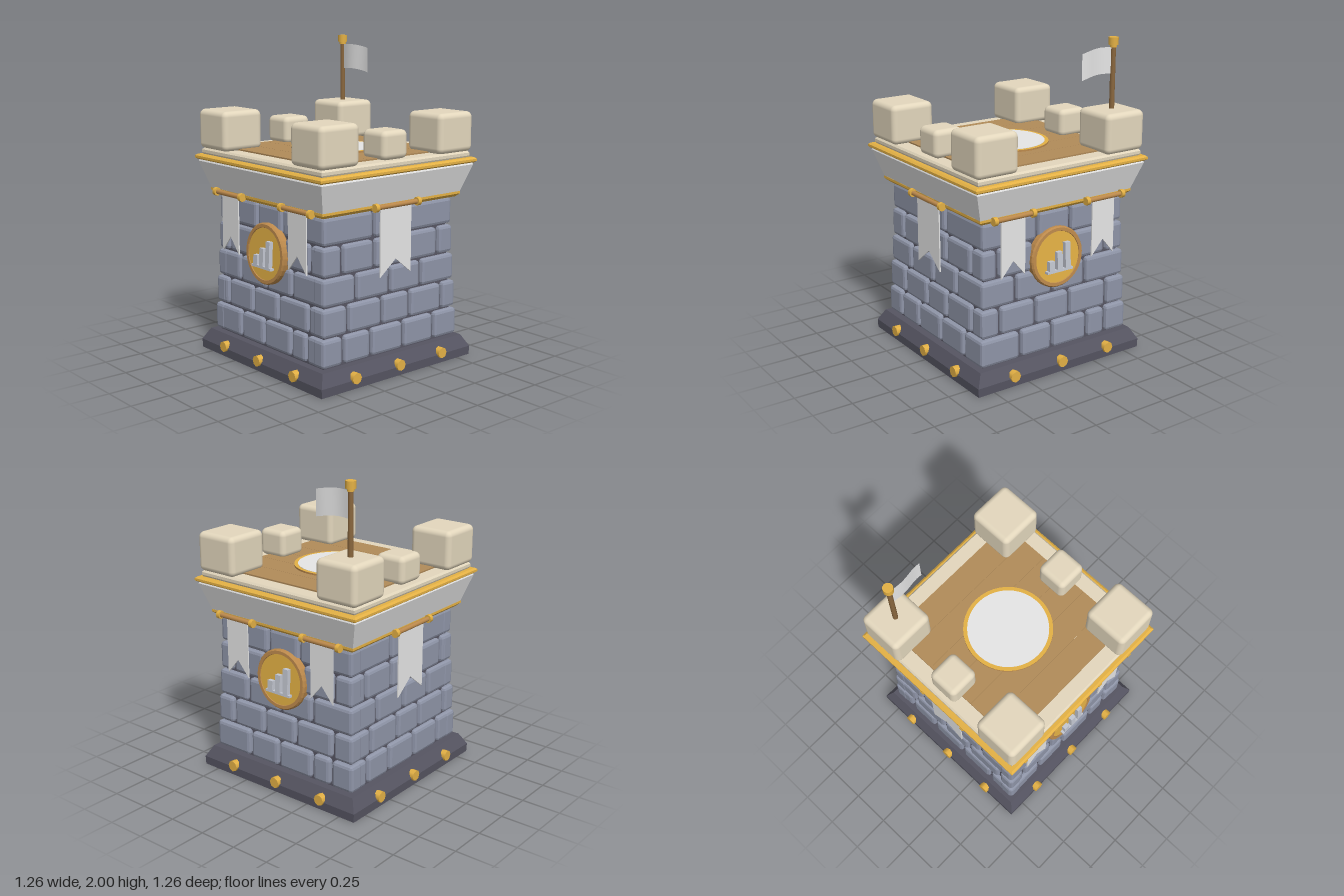
import * as THREE from 'three';
import { RoundedBoxGeometry } from 'three/addons/geometries/RoundedBoxGeometry.js';

const mat = (name, color, side = THREE.FrontSide) => {
  const m = new THREE.MeshStandardMaterial({ color, side });
  m.name = name;
  return m;
};

export function createModel() {
  const M = {
    brick: mat('blue grey stone', 0x8f95a8),
    mortar: mat('dark slate', 0x565562),
    cream: mat('cream stone', 0xe3d7bd),
    wood: mat('plank wood', 0xb18b59),
    pole: mat('dark wood', 0x8a673e),
    gold: mat('gold', 0xe4b145),
    bronze: mat('bronze', 0xbd8a4c),
    pale: mat('pale grey', 0xe6e6e6, THREE.DoubleSide),
    steel: mat('steel', 0xc4c8d2),
  };
  const model = new THREE.Group();
  model.name = 'tower';

  const add = (parent, name, geo, material, x = 0, y = 0, z = 0) => {
    const mesh = new THREE.Mesh(geo, material);
    mesh.name = name;
    mesh.position.set(x, y, z);
    parent.add(mesh);
    return mesh;
  };
  const group = (name, parent = model) => {
    const g = new THREE.Group();
    g.name = name;
    parent.add(g);
    return g;
  };
  const faceted = (geo) => {
    const g = geo.index ? geo.toNonIndexed() : geo;
    g.computeVertexNormals();
    return g;
  };
  // square ring or solid from a list of [half width, height], bottom to top
  const square = (profile) => faceted(new THREE.LatheGeometry(
    profile.map(([r, y]) => new THREE.Vector2(r * Math.SQRT2, y)), 4, Math.PI / 4));
  const chamferBox = (w, h, d, r) => faceted(new RoundedBoxGeometry(w, h, d, 1, r));
  const box = (w, h, d) => new THREE.BoxGeometry(w, h, d);
  const cyl = (r, h, n = 16) => new THREE.CylinderGeometry(r, r, h, n);

  // plinth, hollow underneath, and mortar core
  add(model, 'plinth', square([
    [0, 0.1], [0.585, 0.1], [0.59, 0], [0.612, 0], [0.614, 0.055], [0.572, 0.13], [0, 0.13]]), M.mortar);
  add(model, 'mortarCore', square([[0.525, 0.12], [0.485, 1.05]]), M.mortar);

  // brick courses: bottom, top, half width, joints on front and on side
  const courses = [
    [0.14, 0.31, 0.55, [-0.265, -0.03, 0.24, 0.385], [-0.39, -0.175, 0.09, 0.35]],
    [0.32, 0.49, 0.542, [-0.41, -0.15, 0.105, 0.395], [-0.35, -0.08, 0.15, 0.425]],
    [0.5, 0.665, 0.533, [-0.29, -0.02, 0.23], [-0.28, -0.01, 0.25]],
    [0.675, 0.85, 0.526, [-0.415, -0.155, 0.15, 0.39], [-0.38, -0.13, 0.13, 0.4]],
    [0.86, 1.025, 0.52, [-0.125, 0.12], [-0.13, 0.115]],
  ];

  const swallowtail = (w, h, notch) => {
    const s = new THREE.Shape();
    s.moveTo(-w / 2, 0);
    s.lineTo(-w / 2, -h);
    s.lineTo(0, -h + notch);
    s.lineTo(w / 2, -h);
    s.lineTo(w / 2, 0);
    s.closePath();
    return new THREE.ExtrudeGeometry(s, { depth: 0.008, bevelEnabled: false });
  };

  // hanging banner with its rod and collars
  const banner = (parent, x, w, h, rodLength) => {
    const g = group('banner', parent);
    g.position.set(x, 1.052, 0.575);
    add(g, 'bannerCloth', swallowtail(w, h, 0.1), M.pale, 0, 0, -0.015);
    add(g, 'bannerRod', cyl(0.015, rodLength, 10), M.bronze).rotation.z = Math.PI / 2;
    for (const s of [-1, 1]) {
      add(g, 'rodCollar', cyl(0.026, 0.025, 10), M.gold, s * rodLength / 2, 0, 0).rotation.z = Math.PI / 2;
    }
  };

  // round medallion with rising bars
  const medallion = (parent) => {
    const g = group('medallion', parent);
    g.position.set(0, 0.73, 0.53);
    g.rotation.x = -0.05;
    const rim = [[0, -0.03], [0.18, -0.03], [0.19, -0.018], [0.19, 0.018], [0.182, 0.028], [0.162, 0.028], [0.157, 0.016]];
    const rimGeo = new THREE.LatheGeometry(rim.map(([r, y]) => new THREE.Vector2(r, y)), 32);
    add(g, 'medallionRim', faceted(rimGeo), M.bronze).rotation.x = Math.PI / 2;
    add(g, 'medallionFace', cyl(0.16, 0.03, 32), M.gold, 0, 0, 0.008).rotation.x = Math.PI / 2;
    add(g, 'barBase', box(0.19, 0.015, 0.03), M.steel, 0, -0.08, 0.035);
    [0.06, 0.11, 0.16].forEach((h, i) =>
      add(g, 'bar', box(0.038, h, 0.03), M.steel, (i - 1) * 0.06, -0.073 + h / 2, 0.035));
  };

  // four walls; even ones carry the medallion, odd ones a single banner
  for (let k = 0; k < 4; k++) {
    const wall = group('wall');
    wall.rotation.y = k * Math.PI / 2;
    const isFront = k % 2 === 0;
    for (const [y0, y1, half, front, side] of courses) {
      const joints = [-half - 0.01, ...(isFront ? front : side), half + 0.01];
      for (let i = 0; i + 1 < joints.length; i++) {
        const w = joints[i + 1] - joints[i] - 0.02;
        const out = half + ((i * 3 + k) % 3 - 1) * 0.003;
        add(wall, 'brick', chamferBox(w, y1 - y0, 0.1, 0.02), M.brick,
          (joints[i] + joints[i + 1]) / 2, (y0 + y1) / 2, out - 0.05);
      }
    }
    for (const x of [-0.355, 0, 0.355]) {
      add(wall, 'plinthStud', cyl(0.035, 0.055, 8), M.gold, x, 0.067, 0.6015).rotation.x = Math.PI / 2;
    }
    if (isFront) {
      medallion(wall);
      for (const s of [-1, 1]) banner(wall, s * 0.335, 0.17, 0.37, 0.27);
    } else {
      banner(wall, 0, 0.25, 0.43, 0.34);
    }
  }

  // flared cornice, gold mouldings and parapet slab
  add(model, 'lowerMoulding', square([[0, 1.03], [0.535, 1.03], [0.558, 1.05], [0.558, 1.065], [0, 1.065]]), M.gold);
  add(model, 'cornice', square([[0, 1.06], [0.555, 1.06], [0.612, 1.235], [0.606, 1.25], [0, 1.25]]), M.pale);
  add(model, 'upperMoulding', square([[0, 1.247], [0.615, 1.247], [0.628, 1.256], [0.628, 1.27], [0.615, 1.28], [0, 1.28]]), M.gold);
  add(model, 'parapetSlab', square([[0, 1.28], [0.59, 1.28], [0.595, 1.29], [0.595, 1.308], [0.585, 1.32], [0, 1.32]]), M.cream);

  // plank deck with a round pad
  const deck = group('deck');
  for (let i = 0; i < 6; i++) {
    add(deck, 'plank', box(0.99, 0.014, 0.1635), M.wood, 0, 1.322, (i - 2.5) * 0.1655);
  }
  add(deck, 'padRim', cyl(0.272, 0.018, 40), [M.bronze, M.gold, M.gold], 0, 1.331, 0);
  add(deck, 'pad', cyl(0.248, 0.018, 40), M.pale, 0, 1.333, 0);

  // merlons: four large corner blocks, two small side blocks
  for (const x of [-0.465, 0.465]) {
    for (const z of [-0.465, 0.465]) {
      add(model, 'cornerMerlon', new RoundedBoxGeometry(0.29, 0.248, 0.29, 3, 0.035), M.cream, x, 1.442, z);
    }
    add(model, 'sideMerlon', new RoundedBoxGeometry(0.2, 0.174, 0.2, 3, 0.035), M.cream, x, 1.405, 0);
  }

  // flagpole and waving flag
  const flagGroup = group('flagpole');
  flagGroup.position.set(-0.465, 0, -0.465);
  add(flagGroup, 'pole', cyl(0.016, 0.42, 12), M.pole, 0, 1.76, 0);
  add(flagGroup, 'poleCap', cyl(0.031, 0.045, 12), M.gold, 0, 1.9775, 0);
  add(flagGroup, 'poleCollar', cyl(0.022, 0.02, 12), M.gold, 0, 1.95, 0);
  const flag = new THREE.PlaneGeometry(0.23, 0.16, 12, 1);
  const p = flag.attributes.position;
  for (let i = 0; i < p.count; i++) {
    const t = p.getX(i) / 0.23 + 0.5;
    p.setZ(i, 0.009 * Math.sin(t * Math.PI * 1.6));
    p.setY(i, p.getY(i) + 0.006 * Math.sin(t * Math.PI) - 0.018 * t * t);
  }
  flag.computeVertexNormals();
  add(flagGroup, 'flag', flag, M.pale, 0.128, 1.86, 0);

  return model;
}
